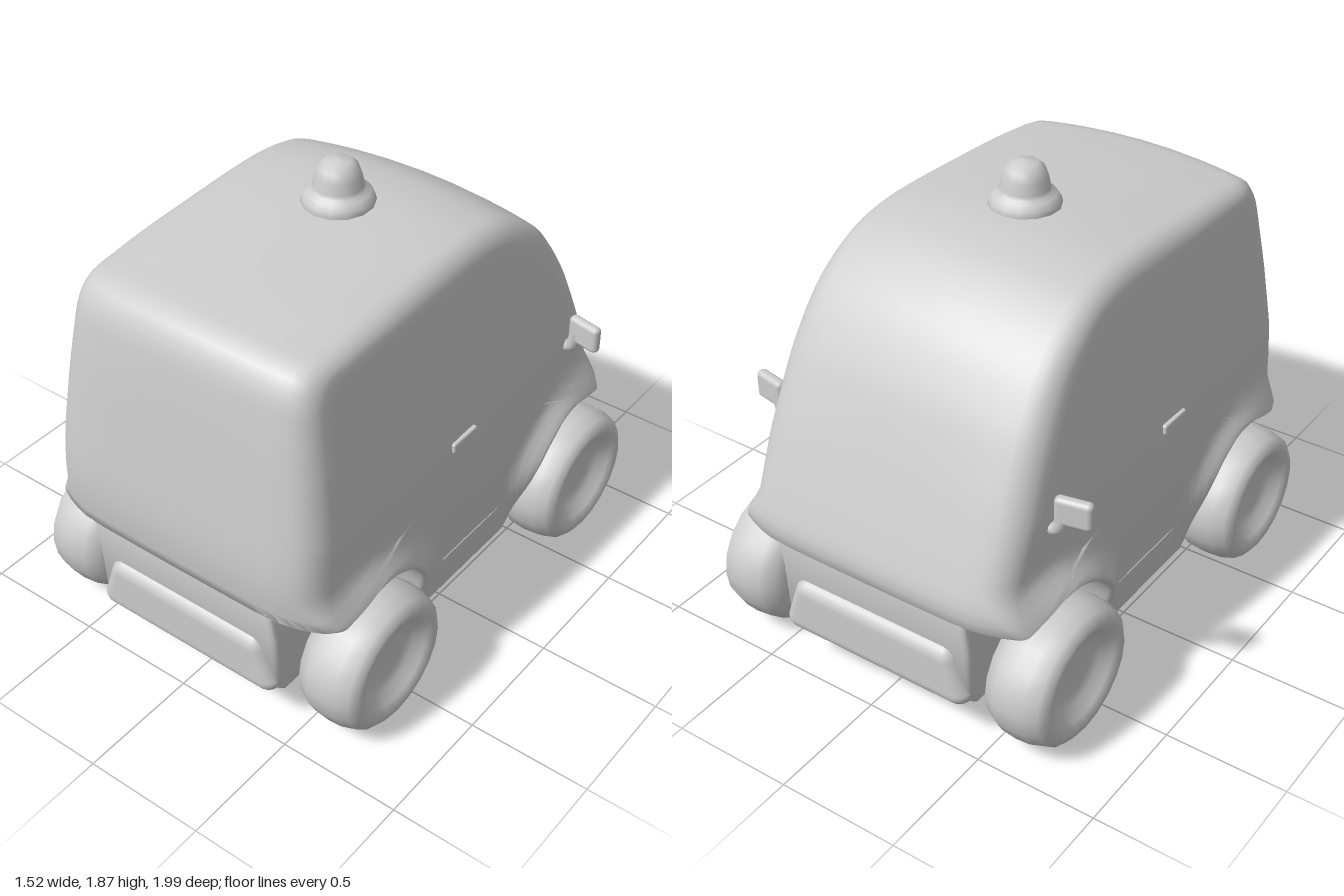
import * as THREE from 'three';
import { toCreasedNormals } from 'three/addons/utils/BufferGeometryUtils.js';
import { RoundedBoxGeometry } from 'three/addons/geometries/RoundedBoxGeometry.js';

const paint = new THREE.MeshStandardMaterial({ color: 0xcccccc });
paint.name = 'light grey';

const WHEELS = [0.645, -0.68], CY = 0.9;
const smooth = THREE.MathUtils.smoothstep;

function add(parent, name, geometry, x = 0, y = 0, z = 0) {
  const m = new THREE.Mesh(geometry, paint);
  m.name = name;
  m.position.set(x, y, z);
  parent.add(m);
  return m;
}

// Half width of the cabin at a height, narrower toward the ends
const WIDTHS = [[0.17, 0.59], [0.4, 0.61], [0.6, 0.63], [0.75, 0.637], [0.95, 0.632], [1.2, 0.6], [1.4, 0.567], [1.62, 0.535], [1.75, 0.52]];
function halfWidth(z, y) {
  const taper = 1 - (z > 0 ? 0.03 : 0.09) * smooth(Math.abs(z), 0.35, 1);
  for (let i = 1; i < WIDTHS.length; i++) {
    const [y0, w0] = WIDTHS[i - 1], [y1, w1] = WIDTHS[i];
    if (y <= y1) return taper * (w0 + (w1 - w0) * Math.max(0, (y - y0) / (y1 - y0)));
  }
  return 0.52 * taper;
}

// Fender swelling around the wheels
function flare(z, y) {
  const zw = z > 0 ? WHEELS[0] : WHEELS[1];
  let dz = Math.abs(z - zw);
  if (Math.abs(z) > Math.abs(zw)) dz *= 0.65;
  const k = 1 - smooth(Math.hypot(dz, y - 0.28), 0.32, 0.48);
  return (z > 0 ? 0.07 : 0.09) * k * smooth(y, 0.2, 0.55);
}

// Cabin shell: side outline with wheel arches, swept across the width
function cabinGeometry() {
  const upper = [[0.985, 0.59], [0.995, 0.67], [1, 0.78], [0.975, 1.1], [0.945, 1.4], [0.915, 1.55], [0.86, 1.62], [0.7, 1.65],
    [0.4, 1.677], [0, 1.7], [-0.2, 1.692], [-0.37, 1.65], [-0.58, 1.51], [-0.72, 1.32], [-0.82, 1.11], [-0.9, 0.91],
    [-0.975, 0.71], [-0.995, 0.64], [-0.985, 0.58]];
  const arch = [[0.95, 0.572], [0.85, 0.595], [0.75, 0.617], [0.65, 0.625], [0.55, 0.612], [0.45, 0.565], [0.38, 0.49],
    [0.34, 0.4], [0.32, 0.28], [0.31, 0.2], [0.28, 0.17]];
  const curve = (pts, n) => new THREE.CatmullRomCurve3(pts.map(p => new THREE.Vector3(0, p[1], p[0])), false, 'centripetal').getSpacedPoints(n);
  const outline = [
    ...curve(upper, 80),
    ...curve(arch.map(([z, y]) => [-z - 0.03, y]), 24),
    ...[-0.15, 0, 0.15].map(z => new THREE.Vector3(0, 0.17, z)),
    ...curve(arch, 24).reverse(),
  ];
  const rows = [];
  for (const t of [0, 0.2, 0.35, 0.45, 0.55, 0.63, 0.7, 0.77, 0.83, 0.89, 0.95, 1]) rows.push({ t, a: 0, f: 1 });
  for (const a of [0.25, 0.5, 0.75, 1]) rows.push({ t: 1, a: a * Math.PI / 2, f: 1 });
  for (const f of [0.92, 0.84, 0.75, 0.6, 0.3, 0]) rows.push({ t: 1, a: Math.PI / 2, f });
  const half = rows.length - 1;
  for (let i = half - 1; i >= 0; i--) rows.push({ ...rows[i], mirror: true });

  const pos = [], idx = [], n = outline.length;
  for (const { t, a, f, mirror } of rows) {
    for (const p of outline) {
      const k = smooth(p.y, 0.56, 0.75);
      const r = 0.025 + 0.055 * k, bulge = 0.005 + 0.03 * k * smooth(p.y, 0.8, 1.6);
      const len = Math.hypot(p.z, p.y - CY);
      const edge = (len - bulge - r) * t + r * Math.sin(a);
      const R = edge + bulge * (1 - f * f);
      const ze = p.z / len * edge, ye = CY + (p.y - CY) / len * edge;
      const x = (halfWidth(ze, ye) + flare(ze, ye) - r * (1 - Math.cos(a))) * f;
      // Round the ends off in plan
      const z = p.z / len * R, q = Math.max(0, (x - 0.4) / 0.25);
      const back = 0.07 * q * q * smooth(Math.abs(z), 0.5, 0.95);
      pos.push(mirror ? -x : x, CY + (p.y - CY) / len * R, z - Math.sign(z) * back);
    }
  }
  for (let j = 0; j < rows.length - 1; j++) {
    for (let i = 0; i < n; i++) {
      const i2 = (i + 1) % n;
      const A = j * n + i, B = j * n + i2, C = A + n, D = B + n;
      idx.push(A, D, C, A, B, D);
    }
  }
  const g = new THREE.BufferGeometry();
  g.setAttribute('position', new THREE.Float32BufferAttribute(pos, 3));
  g.setIndex(idx);
  return toCreasedNormals(g, 1);
}

// Narrow lower hull between the wheels, flush with the cabin ends
function hullGeometry() {
  const pts = [[0.9, 0.187], [0.925, 0.21], [0.94, 0.45], [0.962, 0.6], [0.94, 0.66], [-0.94, 0.66], [-0.962, 0.6], [-0.94, 0.45], [-0.925, 0.21], [-0.9, 0.187]];
  const shape = new THREE.Shape(pts.map(([z, y]) => new THREE.Vector2(-z, y)));
  const g = new THREE.ExtrudeGeometry(shape, { depth: 0.82, bevelSize: 0.02, bevelThickness: 0.025, bevelSegments: 4 });
  g.translate(0, 0, -0.41);
  g.rotateY(Math.PI / 2);
  return toCreasedNormals(g, 0.8);
}

// Bumper pad, narrower toward its top
function bumperGeometry() {
  const g = new RoundedBoxGeometry(0.86, 0.26, 0.16, 5, 0.06);
  const p = g.attributes.position;
  for (let i = 0; i < p.count; i++) p.setX(i, p.getX(i) * (1 - 0.14 * smooth(p.getY(i), -0.1, 0.13)));
  g.computeVertexNormals();
  return g;
}

const lathe = (pts, sides) => new THREE.LatheGeometry(pts.map(p => new THREE.Vector2(...p)), sides);

export function createModel() {
  const model = new THREE.Group();
  model.name = 'smallCar';
  add(model, 'cabin', cabinGeometry());
  add(model, 'lowerHull', hullGeometry());
  add(model, 'frontBumper', bumperGeometry(), 0, 0.3, 0.905);
  add(model, 'backBumper', bumperGeometry(), 0, 0.3, -0.91);

  // Wheels with a dished hub, and axles
  const tyre = lathe([[0, -0.14], [0.2, -0.14], [0.265, -0.12], [0.295, -0.065], [0.302, 0], [0.298, 0.06],
    [0.28, 0.115], [0.25, 0.138], [0.225, 0.14], [0.19, 0.125], [0.155, 0.09], [0.1, 0.08], [0, 0.08]], 20);
  WHEELS.forEach((z, i) => {
    const end = i ? 'back' : 'front';
    for (const s of [1, -1]) {
      const w = add(model, end + (s > 0 ? 'LeftWheel' : 'RightWheel'), tyre, s * 0.62, 0.28, z);
      w.rotation.z = -s * Math.PI / 2;
      w.scale.set(0.93, 1, i ? 1.03 : 1);
    }
    add(model, end + 'Axle', new THREE.CylinderGeometry(0.09, 0.09, 1.1, 16), 0, 0.28, z).rotation.z = Math.PI / 2;
  });

  // Roof beacon
  add(model, 'roofBeacon', lathe([[0.138, -0.03], [0.14, 0.01], [0.135, 0.03], [0.12, 0.05], [0.1, 0.06], [0.096, 0.075],
    [0.088, 0.115], [0.076, 0.15], [0.05, 0.172], [0, 0.18]], 14), 0, 1.69, 0.02);

  // Mirrors, door handles and sill seams on both sides
  for (const s of [1, -1]) {
    const side = s > 0 ? 'left' : 'right';
    const head = add(model, side + 'Mirror', new RoundedBoxGeometry(0.145, 0.115, 0.045, 3, 0.02), s * 0.685, 1.0, -0.672);
    head.rotation.y = -s * 0.2;
    const path = new THREE.CatmullRomCurve3([[0.54, 0.905, -0.68], [0.615, 0.91, -0.68], [0.635, 0.94, -0.68], [0.645, 0.99, -0.678]]
      .map(([x, y, z]) => new THREE.Vector3(s * x, y, z)));
    add(model, side + 'MirrorStem', new THREE.TubeGeometry(path, 10, 0.026, 10));
    add(model, side + 'DoorHandle', new RoundedBoxGeometry(0.04, 0.042, 0.15, 2, 0.008), s * 0.625, 0.935, 0.087);
    add(model, side + 'SillSeam', new THREE.BoxGeometry(0.008, 0.006, 0.46), s * 0.606, 0.36, -0.01);
  }
  return model;
}
